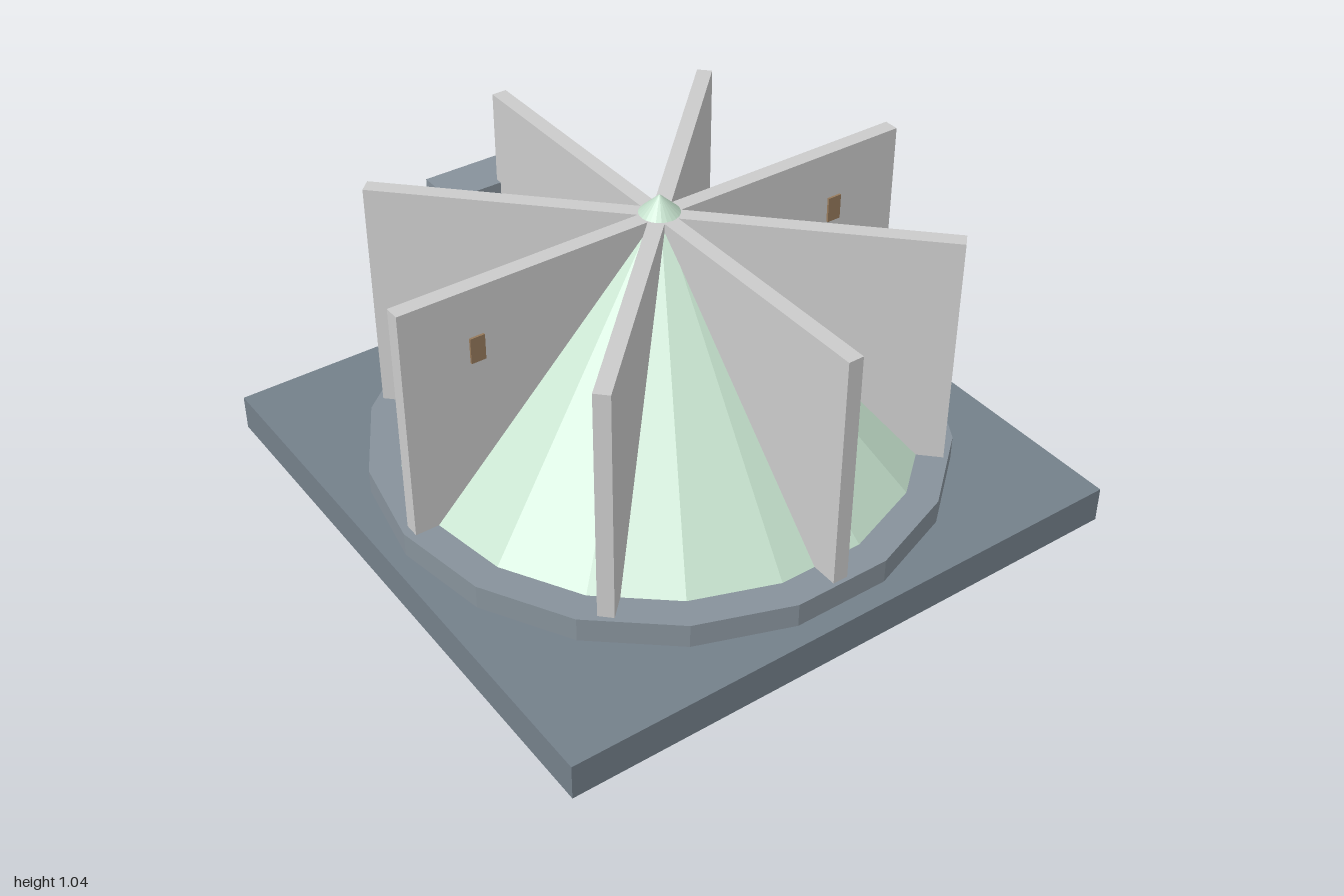
import * as THREE from 'three';

const mat = (color) => new THREE.MeshStandardMaterial({ color, flatShading: true });

export function createModel() {
  const model = new THREE.Group();
  const slate = mat(0x74808a), stone = mat(0x87929b), green = mat(0xc0dcc8);
  const grey = mat(0xcccccc), brown = mat(0x967a5c);

  // Everything but the cabinet is centred on this hub
  const hub = new THREE.Group();
  hub.name = 'hub';
  hub.position.z = 0.027;
  model.add(hub);

  const add = (parent, name, geometry, material, x, y, z) => {
    const mesh = new THREE.Mesh(geometry, material);
    mesh.name = name;
    mesh.position.set(x, y, z);
    parent.add(mesh);
    return mesh;
  };

  // Square base slab and 18-sided plinth with a corner on the x axis
  add(hub, 'baseSlab', new THREE.BoxGeometry(1.945, 0.12, 1.945), slate, 0, 0.06, 0);
  add(hub, 'plinth', new THREE.CylinderGeometry(0.917, 0.917, 0.08, 18), stone, 0, 0.16, 0)
    .rotation.y = Math.PI / 2;

  // Main cone and its small pointed cap
  add(hub, 'cone', new THREE.ConeGeometry(0.817, 0.815, 18), green, 0, 0.6075, 0)
    .rotation.y = Math.PI / 2;
  add(hub, 'cap', new THREE.ConeGeometry(0.063, 0.06, 24), green, 0, 1.01, 0);

  // Eight upright radial fins
  const finGeometry = new THREE.BoxGeometry(0.89, 0.78, 0.05).translate(0.445, 0, 0);
  for (let i = 0; i < 8; i++) {
    add(hub, 'fin', finGeometry, grey, 0, 0.588, 0).rotation.y = (i * Math.PI) / 4;
  }

  // Small plates through the two side fins
  for (const side of [-1, 1]) {
    add(hub, 'plate', new THREE.BoxGeometry(0.048, 0.085, 0.064), brown, side * 0.647, 0.775, 0);
  }

  // Cabinet at the back edge of the slab
  add(model, 'cabinet', new THREE.BoxGeometry(0.43, 0.54, 0.16), stone, 0, 0.39, -0.92);

  return model;
}
